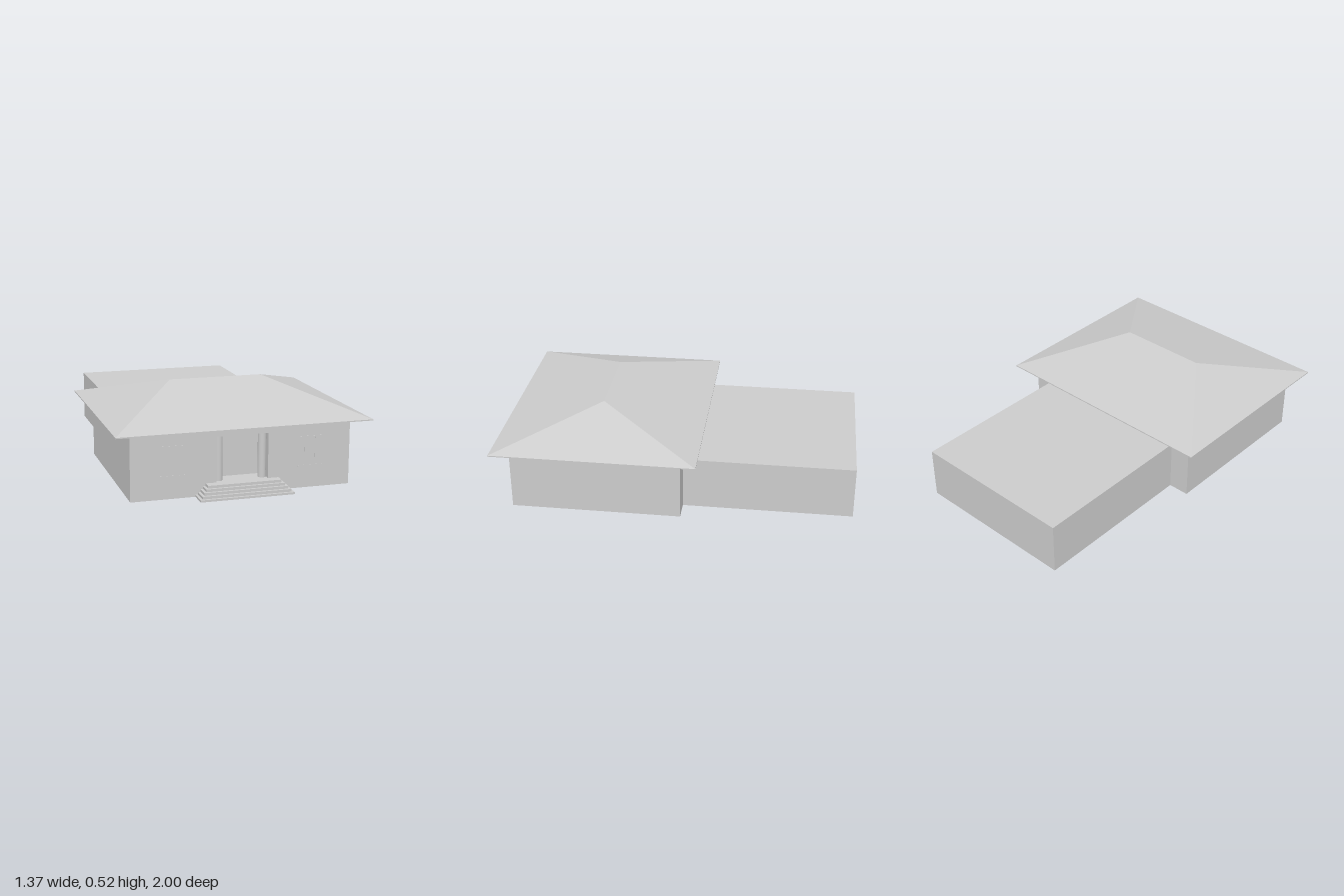
import * as THREE from 'three';

const material = (side = THREE.FrontSide) => new THREE.MeshStandardMaterial({ color: 0xcccccc, side });

// Box whose listed faces are left out (0 +x, 1 -x, 2 +y, 3 -y, 4 +z, 5 -z)
function openBox(w, h, d, skip = []) {
  const geo = new THREE.BoxGeometry(w, h, d);
  const index = Array.from(geo.index.array).filter((_, i) => !skip.includes(Math.floor(i / 6)));
  geo.setIndex(index);
  geo.clearGroups();
  return geo;
}

export function createModel() {
  const model = new THREE.Group();
  function add(name, geo, x, y, z, side, parent = model) {
    const mesh = new THREE.Mesh(geo, material(side));
    mesh.name = name;
    mesh.position.set(x, y, z);
    parent.add(mesh);
    return mesh;
  }

  const W = 1.19, H = 0.36, front = 0.9, back = -0.05;
  const porchW = 0.28, floorY = 0.067, porchTop = 0.31, porchD = 0.1;
  const porchH = porchTop - floorY, porchY = (porchTop + floorY) / 2;

  // Main block, its front face replaced by a wall with the porch opening
  add('mainWalls', openBox(W, H, front - back, [4]), 0, H / 2, (front + back) / 2);
  const wall = new THREE.Shape();
  wall.moveTo(-W / 2, 0).lineTo(W / 2, 0).lineTo(W / 2, H).lineTo(-W / 2, H).closePath();
  const opening = new THREE.Path();
  opening.moveTo(-porchW / 2, floorY).lineTo(-porchW / 2, porchTop)
    .lineTo(porchW / 2, porchTop).lineTo(porchW / 2, floorY).closePath();
  wall.holes.push(opening);
  add('frontWall', new THREE.ShapeGeometry(wall), 0, 0, front);

  // Recessed porch, seen from the inside
  add('porchRecess', openBox(porchW, porchH, porchD, [4]), 0, porchY, front - porchD / 2, THREE.BackSide);

  // Columns and windows, mirrored
  for (const s of [-1, 1]) {
    add('porchColumn', new THREE.CylinderGeometry(0.022, 0.022, porchH, 24), s * 0.119, porchY, 0.86);

    const win = new THREE.Group();
    win.name = 'window';
    win.position.set(s * 0.372, 0, front);
    model.add(win);
    add('lintel', new THREE.BoxGeometry(0.165, 0.006, 0.004), 0, 0.276, 0, undefined, win);
    add('sill', new THREE.BoxGeometry(0.14, 0.006, 0.004), 0, 0.12, 0, undefined, win);
    for (const x of [-0.03, 0.03]) {
      add('mullion', new THREE.BoxGeometry(0.005, 0.15, 0.003), x, 0.198, 0, undefined, win);
    }
  }

  // Entrance steps, narrowing upwards
  const levels = [0, 0.011, 0.025, 0.039, 0.053, floorY];
  for (let i = 0; i < 5; i++) {
    const h = levels[i + 1] - levels[i], d = 0.1 - i * 0.0135;
    add('step', new THREE.BoxGeometry(0.506 - i * 0.027, h, d), 0, levels[i] + h / 2, front + d / 2);
  }

  // Hipped roof: thin eaves slab, then a box drawn in to a ridge
  const roofW = 1.37, roofD = 1.135, roofZ = 0.424, eaves = 0.006, rise = 0.154;
  add('eaves', openBox(roofW, eaves, roofD, [2]), 0, H + eaves / 2, roofZ);
  let roof = openBox(roofW, rise, roofD, [2, 3]);
  const pos = roof.attributes.position;
  for (let i = 0; i < pos.count; i++) {
    if (pos.getY(i) > 0) pos.setXYZ(i, Math.sign(pos.getX(i)) * 0.26, rise / 2, 0);
  }
  roof = roof.toNonIndexed();
  roof.computeVertexNormals();
  add('hippedRoof', roof, 0, H + eaves + rise / 2, roofZ);

  // Flat-roofed rear wing, open underneath and where it meets the main block
  add('rearWing', openBox(0.95, 0.296, 0.95, [3, 4]), 0, 0.148, -0.525, THREE.DoubleSide);

  return model;
}
